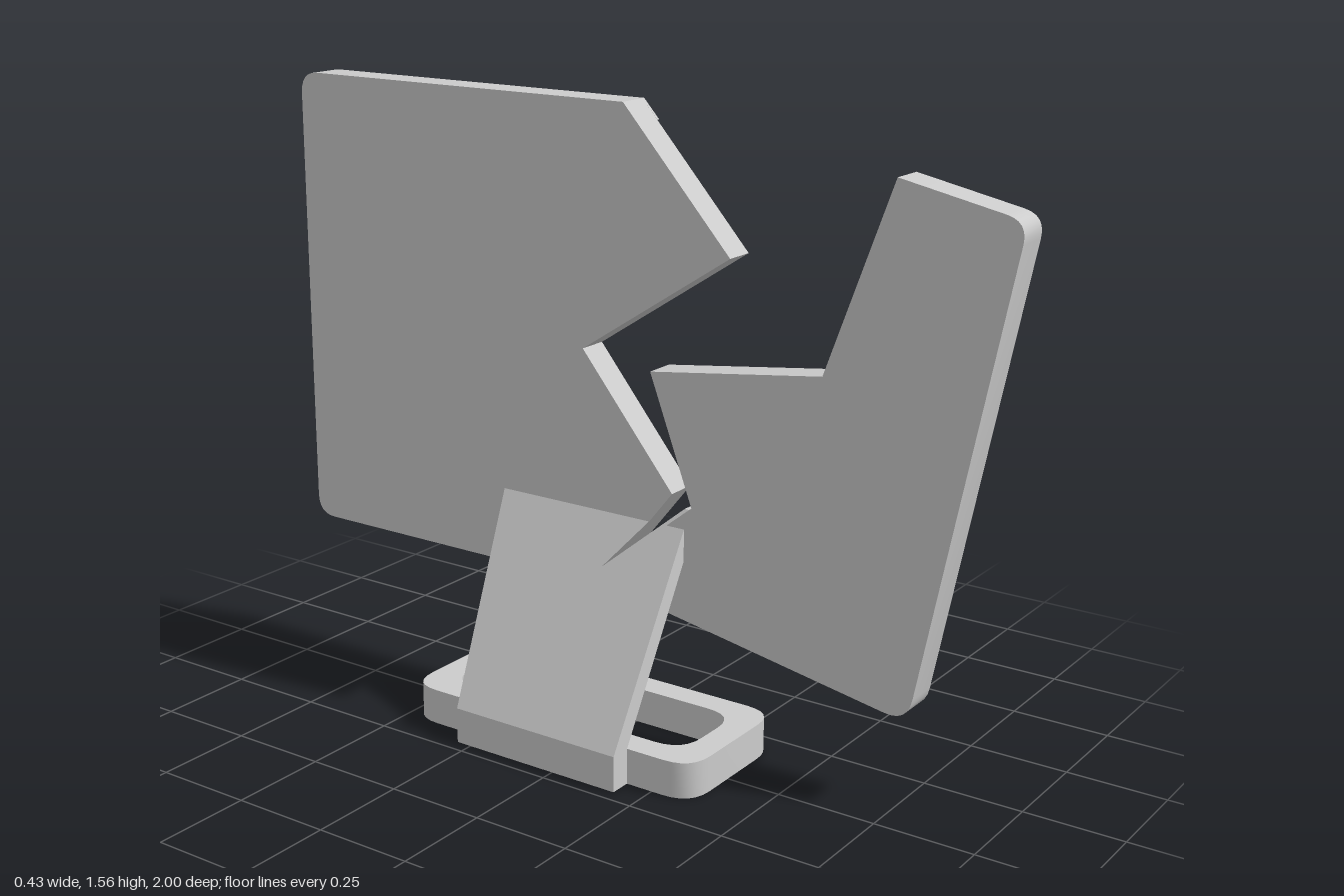
import * as THREE from 'three';
import { toCreasedNormals } from 'three/addons/utils/BufferGeometryUtils.js';

const grey = new THREE.MeshStandardMaterial({ color: 0xcccccc });
grey.name = 'light grey';

// Closed path from [u, v, cornerRadius] points
function outline(points, Type = THREE.Shape) {
  const path = new Type();
  const n = points.length;
  points.forEach(([u, v, r = 0], i) => {
    const p = new THREE.Vector2(u, v);
    const toward = (q) => p.clone().add(new THREE.Vector2(q[0], q[1]).sub(p).setLength(r));
    const a = r ? toward(points[(i + n - 1) % n]) : p;
    if (i === 0) path.moveTo(a.x, a.y);
    else path.lineTo(a.x, a.y);
    if (r) {
      const b = toward(points[(i + 1) % n]);
      path.quadraticCurveTo(u, v, b.x, b.y);
    }
  });
  path.closePath();
  return path;
}

const extrude = (shape, depth) =>
  new THREE.ExtrudeGeometry(shape, { depth, bevelEnabled: false, curveSegments: 6 });

// Slab from [z, y] points, spanning x0 to x1
function slab(points, x0, x1) {
  const flipped = points.map(([z, y, r]) => [-z, y, r]);
  return extrude(outline(flipped), x1 - x0).rotateY(Math.PI / 2).translate(x0, 0, 0);
}

function addPart(group, name, geometry) {
  const mesh = new THREE.Mesh(toCreasedNormals(geometry, 0.6), grey);
  mesh.name = name;
  group.add(mesh);
}

export function createModel() {
  const group = new THREE.Group();
  group.name = 'brokenMonitor';

  // Outer rim, running from one broken end round to the other
  const rim = [
    [0, 1.563], [-1, 1.563, 0.055], [-1, 0.375, 0.055], [-0.02, 0.375, 0.06],
    [0.785, 0.23, 0.06], [1.006, 1.398, 0.05], [0.705, 1.46],
  ];
  // Jagged break through the panel
  const crack = [
    [0.54, 1.0], [0.08, 0.94], [0.2, 0.625], [-0.01, 0.455],
    [0.145, 0.65], [-0.115, 0.967], [0.295, 1.235],
  ];
  addPart(group, 'screenPanel', slab([...rim, ...crack], 0.073, 0.152));

  // Raised bezel around the screen
  const inner = [
    [0.688, 1.413], [0.952, 1.362], [0.752, 0.282], [-0.015, 0.42],
    [-0.955, 0.42], [-0.955, 1.517], [0.042, 1.517],
  ];
  addPart(group, 'bezel', slab([...rim, ...inner], 0.152, 0.159));

  // Leaning neck, split at the top by the crack
  const neck = slab([
    [0.18, 0.09], [0.18, 0.61], [0.165, 0.61], [-0.01, 0.455],
    [0.085, 0.575], [-0.36, 0.575], [-0.29, 0.09],
  ], 0, 1);
  const pos = neck.attributes.position;
  for (let i = 0; i < pos.count; i++) {
    const h = pos.getY(i) - 0.09;
    const back = -0.215 + 0.602 * h;
    const front = Math.min(-0.16 + 0.657 * h, 0.145);
    pos.setX(i, pos.getX(i) > 0.5 ? front : back);
  }
  addPart(group, 'neck', neck);

  // Upright foot of the neck, against the base
  addPart(group, 'neckFoot',
    new THREE.BoxGeometry(0.057, 0.09, 0.47).translate(-0.1865, 0.045, -0.055));

  // Base: rounded rectangular ring
  const rect = (x0, x1, z0, z1, r, Type) =>
    outline([[x0, -z1, r], [x1, -z1, r], [x1, -z0, r], [x0, -z0, r]], Type);
  const ring = rect(-0.16, 0.212, -0.482, 0.36, 0.08);
  ring.holes.push(rect(-0.09, 0.142, -0.412, 0.29, 0.08, THREE.Path));
  addPart(group, 'baseRing', extrude(ring, 0.09).rotateX(-Math.PI / 2));

  return group;
}
